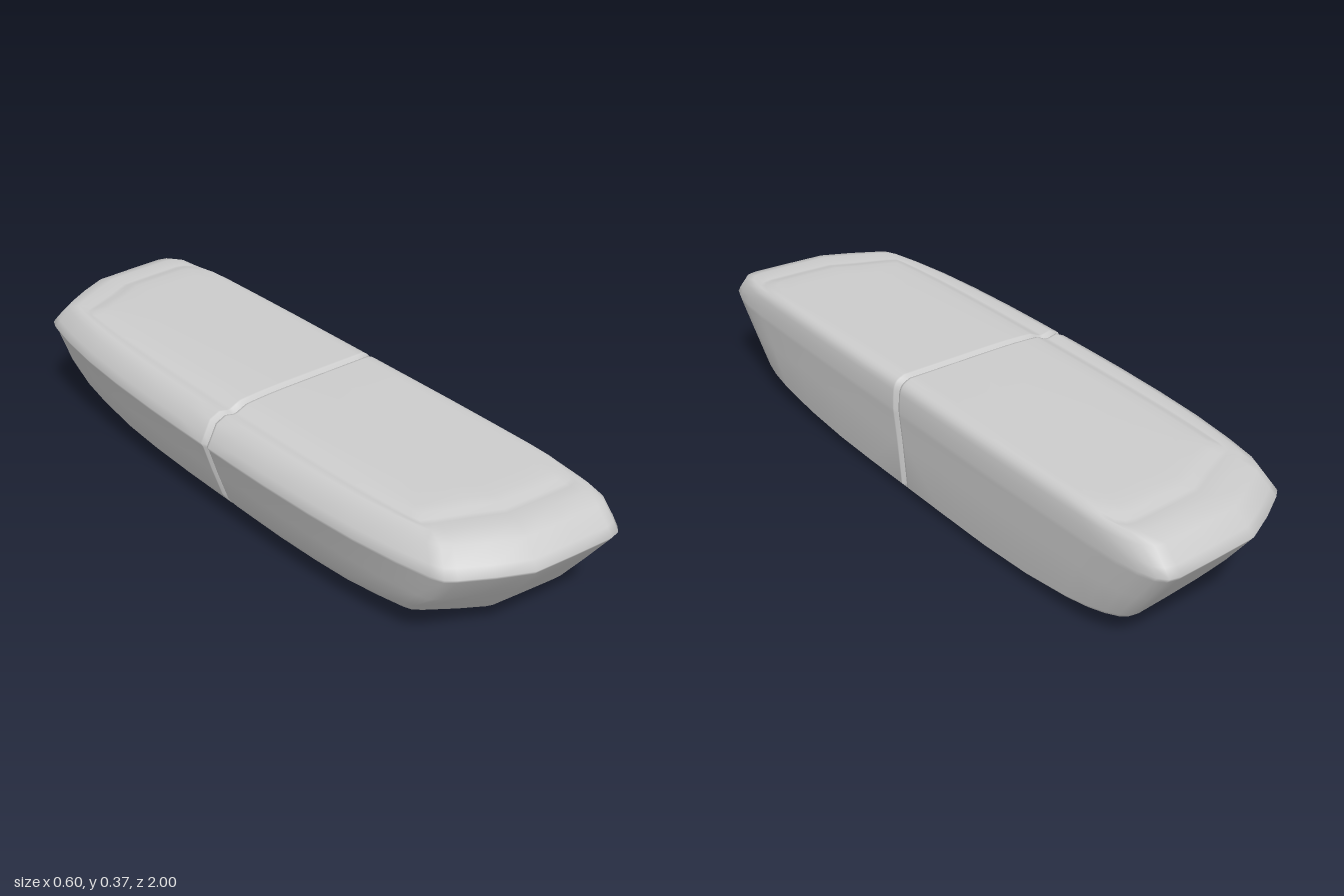
import * as THREE from 'three';

const { lerp, smoothstep } = THREE.MathUtils;
const SEAM = 0.03; // z of the joint between the two halves

// Half outline at the widest level: x, and share of the way from seam to tip
const plan = [
  [-0.3, 0], [-0.3, 0.12], [-0.298, 0.26], [-0.291, 0.44], [-0.279, 0.6], [-0.26, 0.74],
  [-0.24, 0.84], [-0.225, 0.875], [-0.2, 0.895], [-0.12, 0.942], [-0.03, 0.985], [0.1, 0.994], [0.215, 1],
  [0.245, 0.993], [0.265, 0.972], [0.28, 0.93], [0.29, 0.87], [0.295, 0.78],
  [0.298, 0.6], [0.3, 0.4], [0.3, 0.2], [0.3, 0],
];
// Narrow columns beside the seam keep the groove crisp: [x, share, distance from seam]
const columns = [
  [-0.3, 0, 0], [-0.3, 0, 0.012], [-0.3, 0, 0.018],
  ...plan.slice(1, -1).map(([x, w]) => [x, w, null]),
  [0.3, 0, 0.018], [0.3, 0, 0.012], [0.3, 0, 0],
];

// Piecewise-linear lookup
function ramp(points, v) {
  if (v <= points[0][0]) return points[0][1];
  for (let i = 1; i < points.length; i++) {
    const [a, fa] = points[i - 1], [b, fb] = points[i];
    if (v <= b) return lerp(fa, fb, (v - a) / (b - a));
  }
  return points[points.length - 1][1];
}

// Underside rises towards the outer side and the tip
const bottomY = (x, z) =>
  ramp([[-0.24, 0.06], [-0.21, 0.05], [-0.03, 0.009], [0.22, 0]], x) +
  ramp([[0.3, 0], [0.5, 0.009], [0.68, 0.03], [0.84, 0.06]], z);
// Gently domed upper panel
const topY = (x, z) =>
  0.368 - 0.007 * (z / 0.8) ** 2 - 0.006 * (Math.max(0, -0.03 - x) / 0.14) ** 2;

// Levels from the middle of the underside, round the flanks, to the middle of the top
function makeLevels() {
  const levels = [];
  const add = (xL, xR, end, taper, y) => levels.push({ xL, xR, end, taper, y });
  for (const t of [0, 0.2, 0.4, 0.57, 0.75, 0.9, 1]) {
    add(lerp(0.2, -0.205, t), lerp(0.2, 0.24, t), lerp(0.28, 0.825, t), 0.5, bottomY);
  }
  add(-0.216, 0.262, 0.843, 0.5, (x, z) => bottomY(x, z) + 0.01);
  add(-0.235, 0.28, 0.862, 0.55, (x, z) => bottomY(x, z) + 0.03);
  add(-0.268, 0.291, 0.93, 0.8, () => 0.18);
  add(-0.295, 0.299, 0.99, 1, () => 0.262);
  add(-0.302, 0.3, 1, 1, () => 0.276);
  // Rim, recessed line and panel edge: the recess fades out on the inner side
  const rim = [
    [-0.29, 0.299, 0.982, 1, 0.298, 0.305], [-0.27, 0.297, 0.945, 1, 0.338, 0.33],
    [-0.24, 0.294, 0.895, 0.8, 0.352, 0.342], [-0.212, 0.29, 0.85, 0.5, 0.346, 0.35],
    [-0.2, 0.284, 0.835, 0.4, 0.348, 0.357], [-0.186, 0.276, 0.815, 0.4, 0.355, 0.362],
  ];
  for (const [xL, xR, end, taper, yOut, yIn] of rim) {
    add(xL, xR, end, taper, (x, z, u) => lerp(yOut, yIn, smoothstep(u, 0.93, 0.985)));
  }
  for (const t of [0, 0.12, 0.3, 0.5, 0.75, 1]) {
    add(lerp(-0.168, 0.1, t), lerp(0.262, 0.1, t), lerp(0.785, 0.28, t), 0.3, topY);
  }
  return levels;
}

// One half shell; dir = 1 is the front half, -1 the rear half
function halfShell(levels, dir) {
  const positions = [], index = [], n = columns.length, start = SEAM * dir;
  levels.forEach(({ xL, xR, end, taper, y }, i) => {
    columns.forEach(([px, w, gap], j) => {
      let u = (px + 0.3) / 0.6;
      if (u < 0.2) u *= lerp(taper, 1, smoothstep(u, 0.14, 0.2));
      let x = lerp(xL, xR, u);
      const z = gap === null ? lerp(start, end, w) : start + gap;
      let h = y(x, Math.abs(z), u);
      if (gap === 0) { // sink the seam edge into a V groove
        x *= 0.945;
        h = 0.18 + (h - 0.18) * 0.925;
      }
      positions.push(x, h, z * dir);
      if (i && j) {
        const c = i * n + j, d = c - 1, b = c - n, a = b - 1;
        if (dir > 0) index.push(a, b, c, a, c, d);
        else index.push(a, c, b, a, d, c);
      }
    });
  });
  const geometry = new THREE.BufferGeometry();
  geometry.setAttribute('position', new THREE.Float32BufferAttribute(positions, 3));
  geometry.setIndex(index);
  geometry.computeVertexNormals();
  return geometry;
}

export function createModel() {
  const model = new THREE.Group();
  model.name = 'pod';
  const material = new THREE.MeshStandardMaterial({ color: 0xcccccc });
  const levels = makeLevels();
  for (const [name, dir] of [['frontHalf', 1], ['rearHalf', -1]]) {
    const mesh = new THREE.Mesh(halfShell(levels, dir), material);
    mesh.name = name;
    model.add(mesh);
  }
  return model;
}
